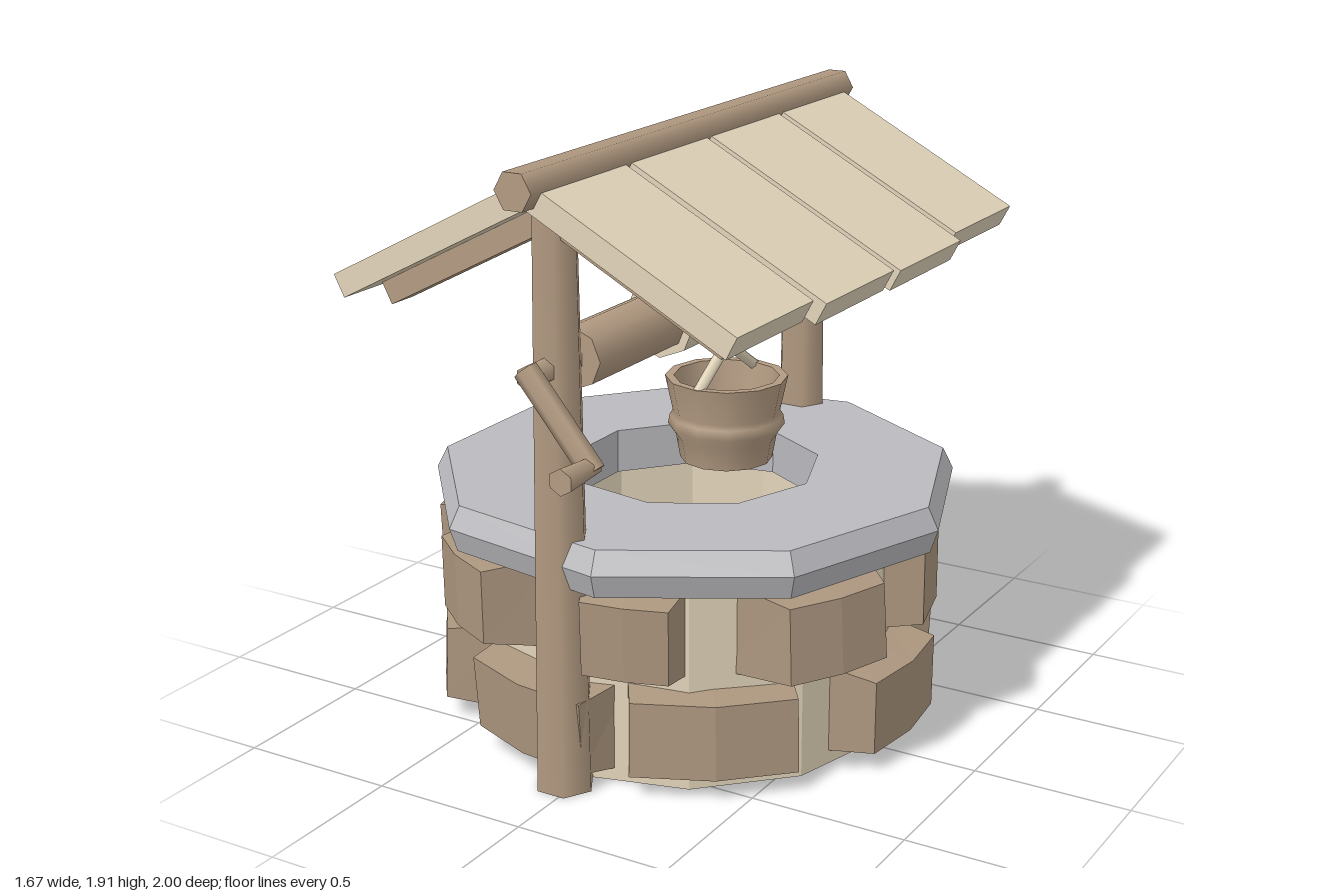
import * as THREE from 'three';

const mat = (name, color) => {
  const m = new THREE.MeshStandardMaterial({ color });
  m.name = name;
  return m;
};

export function createModel() {
  const wood = mat('brown wood', 0xb39b82);
  const brickMat = mat('brown brick', 0xab957e);
  const pale = mat('pale plank and mortar', 0xe2d4ba);
  const stone = mat('grey stone', 0xbbbbbf);

  const model = new THREE.Group();
  model.name = 'well';
  const CX = -0.03, CZ = -0.04;

  const add = (name, geo, material, parent = model) => {
    const mesh = new THREE.Mesh(geo, material);
    mesh.name = name;
    parent.add(mesh);
    return mesh;
  };

  // every face gets its own normal
  const faceted = (geo) => {
    const g = geo.toNonIndexed();
    g.computeVertexNormals();
    return g;
  };

  // smooth tapered prism from point a to point b
  const rod = (name, a, b, ra, rb, sides, material, turn = 0) => {
    const A = new THREE.Vector3(...a), B = new THREE.Vector3(...b);
    const dir = B.clone().sub(A);
    const g = new THREE.CylinderGeometry(rb, ra, dir.length(), sides);
    g.rotateY(turn);
    const mesh = add(name, g, material);
    mesh.position.copy(A).add(B).multiplyScalar(0.5);
    mesh.quaternion.setFromUnitVectors(new THREE.Vector3(0, 1, 0), dir.normalize());
  };

  // revolved outline, listed counter-clockwise in (radius, y)
  const lathe = (pts, sides) =>
    new THREE.LatheGeometry(pts.map(([r, y]) => new THREE.Vector2(r, y)), sides, Math.PI / 2);

  // thin outer wall, inner basin and stone cap
  add('wall', faceted(lathe([[0.68, 0], [0.68, 0.68], [0.67, 0.68], [0.67, 0], [0.68, 0]], 12)), pale)
    .position.set(CX, 0, CZ);
  add('basin', faceted(lathe([[0, 0.25], [0.49, 0.25], [0.49, 0.68], [0.48, 0.68], [0.48, 0.26], [0, 0.26]], 12)), pale)
    .position.set(CX, 0, CZ);
  const cap = faceted(lathe([[0.4, 0.662], [0.825, 0.662], [0.85, 0.737], [0.815, 0.806], [0.4, 0.806], [0.4, 0.662]], 9));
  add('stoneCap', cap, stone).position.set(-0.02, 0, -0.045);

  // bent bricks that run through the wall and narrow toward the outside
  let seed = 7;
  const jitter = (s) => {
    seed = (seed * 16807) % 2147483647;
    return (seed / 2147483647 - 0.5) * 2 * s;
  };
  const bricks = new THREE.Group();
  bricks.name = 'bricks';
  bricks.position.set(CX, 0, CZ);
  model.add(bricks);
  // each brick: direction in degrees, half angle outside, half angle inside, outer radius
  const rows = [
    { y: 0.187, list: [[-11, 0.29, 0.42, 0.78], [36, 0.34, 0.42, 0.76], [89, 0.25, 0.37, 0.8], [141, 0.25, 0.4, 0.79],
      [194, 0.27, 0.4, 0.79], [247, 0.27, 0.4, 0.79], [300, 0.25, 0.4, 0.8]] },
    { y: 0.508, list: [[16, 0.17, 0.28, 0.79], [63, 0.21, 0.44, 0.825], [112, 0.28, 0.38, 0.79], [168, 0.25, 0.4, 0.79],
      [225, 0.25, 0.4, 0.79], [283, 0.22, 0.36, 0.81], [326, 0.22, 0.39, 0.8]] },
  ];
  for (const { y, list } of rows) {
    for (const [deg, outerHalf, innerHalf, depth] of list) {
      const g = new THREE.BoxGeometry(1, 1, 1, 2, 1, 1);
      const p = g.attributes.position;
      const tilt = jitter(0.02), lean = jitter(0.02);
      for (let i = 0; i < p.count; i++) {
        const outer = p.getZ(i) > 0, u = p.getX(i) * 2, v = p.getY(i);
        const a = THREE.MathUtils.degToRad(deg) + u * (outer ? outerHalf : innerHalf);
        const r = outer ? depth + lean * v : 0.6;
        p.setXYZ(i, r * Math.sin(a), y + v * (outer ? 0.235 : 0.295) + u * tilt * 0.5, r * Math.cos(a));
      }
      add('brick', faceted(g), brickMat, bricks);
    }
  }

  // posts
  for (const z of [0.708, -0.787]) {
    rod('post', [CX, 0, z], [CX, 1.79, z], 0.093, 0.07, 6, wood, Math.PI / 6);
  }

  // roof: ridge pole, planks and rafters
  rod('ridgePole', [-0.025, 1.862, -1], [-0.025, 1.862, 0.915], 0.061, 0.061, 6, wood, Math.PI / 6);
  const slope = 0.48;
  const planks = [
    { z: 0.645, left: 0.665, right: 0.675 },
    { z: 0.185, left: 0.69, right: 0.685 },
    { z: -0.27, left: 0.7, right: 0.685 },
    { z: -0.7275, left: 0.67, right: 0.66 },
  ];
  for (const side of [1, -1]) {
    const half = new THREE.Group();
    half.name = side > 0 ? 'roofLeft' : 'roofRight';
    half.position.set(-0.025, 1.885, 0);
    half.rotation.z = -side * slope;
    model.add(half);
    const board = (name, from, to, top, thick, z, width, material) => {
      add(name, new THREE.BoxGeometry(to - from, thick, width), material, half)
        .position.set(side * (from + to) / 2, top - thick / 2, z);
    };
    for (const k of planks) {
      const end = (side > 0 ? k.left : k.right) / Math.cos(slope);
      board('plank', 0.03, end, 0, 0.074, k.z, 0.43, pale);
    }
    for (const z of [0.7, -0.79]) board('rafter', 0.06, 0.7, -0.06, 0.084, z, 0.1, wood);
  }

  // windlass
  const AY = 1.322;
  rod('axle', [CX, AY, -0.9], [CX, AY, 0.86], 0.038, 0.038, 6, wood);
  rod('drum', [CX, AY, -0.71], [CX, AY, 0.63], 0.095, 0.095, 8, wood);
  rod('ropeCoil', [CX, AY, -0.29], [CX, AY, 0.15], 0.123, 0.123, 8, pale);

  // crank
  rod('crankArm', [-0.04, 1.345, 0.852], [0.18, 1.08, 0.85], 0.037, 0.037, 6, wood);
  rod('crankHandle', [0.17, 1.095, 0.83], [0.17, 1.095, 1], 0.028, 0.04, 6, wood);

  // bucket with a bulging hoop; doubled points keep the rim and base sharp
  const BX = 0.095, BZ = -0.045;
  add('bucket', lathe([[0, 0.845], [0.145, 0.845], [0.145, 0.845], [0.158, 0.92], [0.183, 0.955], [0.178, 0.985],
    [0.168, 1.0], [0.192, 1.113], [0.192, 1.113], [0.165, 1.113], [0.165, 1.113], [0.13, 0.88], [0.13, 0.88],
    [0, 0.88]], 12), wood).position.set(BX, 0, BZ);
  for (const s of [1, -1]) {
    rod('bail', [BX, 1.1, BZ + s * 0.18], [BX, 1.215, BZ], 0.018, 0.018, 6, pale);
  }
  rod('rope', [BX, 1.2, BZ], [BX, 1.325, BZ], 0.024, 0.024, 6, pale);

  return model;
}
